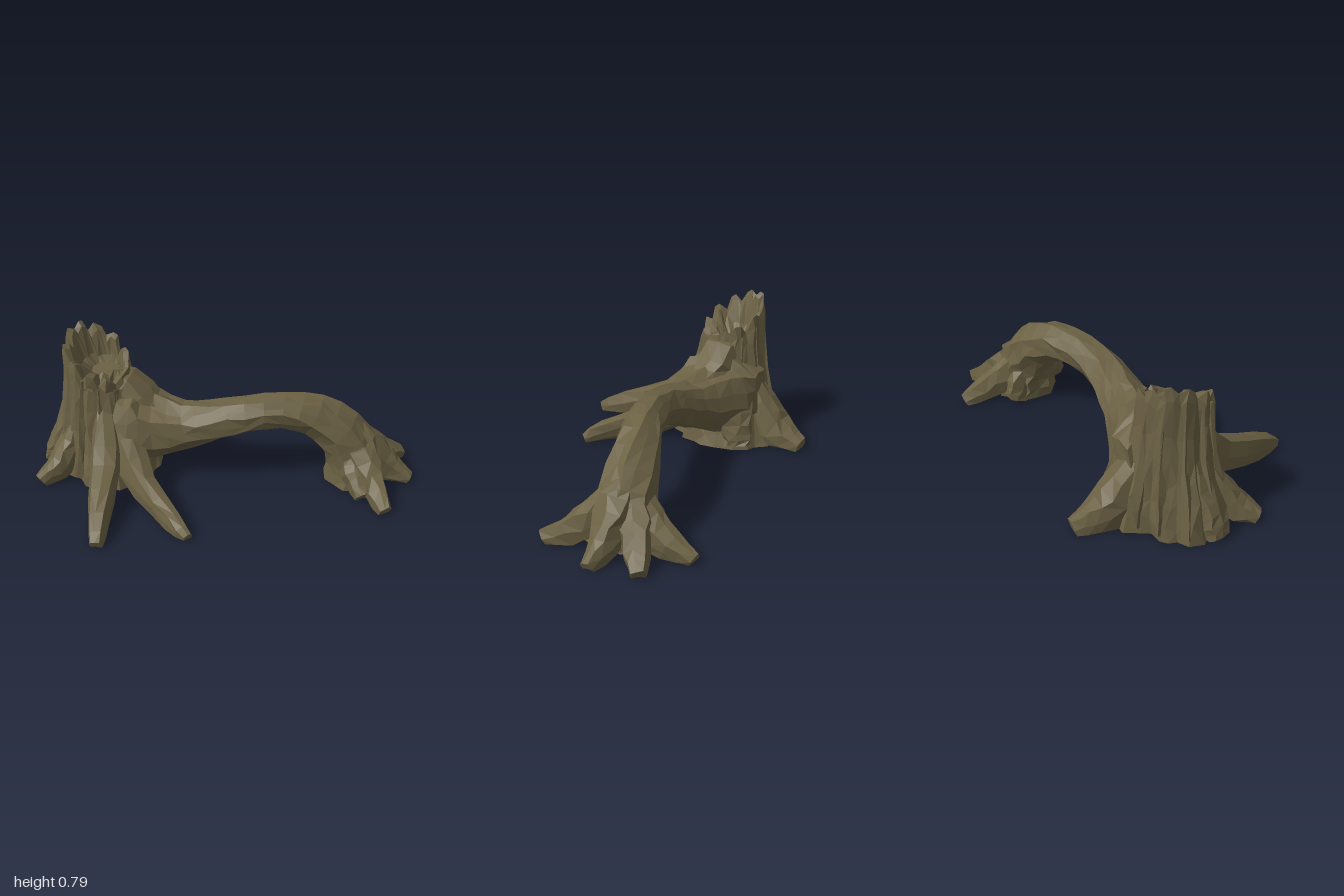
import * as THREE from 'three';

const bark = new THREE.MeshStandardMaterial({ color: 0x6b6144, flatShading: true });
bark.name = 'bark brown';

// Repeatable random numbers
function seeded(seed) {
  let s = seed * 7919 + 13;
  return () => {
    s = (s * 16807) % 2147483647;
    return s / 2147483647;
  };
}

// Skin a list of equal rings with facets, closing both ends
function loft(name, rings, rnd) {
  const pos = [];
  const n = rings[0].length;
  const tri = (...p) => p.forEach((v) => pos.push(v.x, Math.max(0, v.y), v.z));
  const middle = (ring) => ring.reduce((m, v) => m.add(v), new THREE.Vector3()).divideScalar(n);
  const first = rings[0], last = rings[rings.length - 1];
  const m0 = middle(first), m1 = middle(last);
  for (let k = 0; k < n; k++) {
    const j = (k + 1) % n;
    for (let i = 0; i < rings.length - 1; i++) {
      const a = rings[i][k], b = rings[i][j], c = rings[i + 1][j], d = rings[i + 1][k];
      if (rnd() < 0.5) { tri(a, b, c); tri(a, c, d); }
      else { tri(a, b, d); tri(b, c, d); }
    }
    tri(m0, first[j], first[k]);
    tri(m1, last[k], last[j]);
  }
  const geo = new THREE.BufferGeometry();
  geo.setAttribute('position', new THREE.Float32BufferAttribute(pos, 3));
  geo.computeVertexNormals();
  const mesh = new THREE.Mesh(geo, bark);
  mesh.name = name;
  return mesh;
}

// Gnarled limb; each station is [x, y, z, half height], width = half width / half height
function limb(name, stations, { width = 0.7, sides = 9, steps = 6, rough = 0.12, twist = 0.4, seed = 1 } = {}) {
  const rnd = seeded(seed);
  const curve = new THREE.CatmullRomCurve3(stations.map((s) => new THREE.Vector3(s[0], s[1], s[2])));
  const end = stations[stations.length - 1];
  const run = new THREE.Vector3(end[0] - stations[0][0], 0, end[2] - stations[0][2]).normalize();
  const side = new THREE.Vector3(0, 1, 0).cross(run);
  const ridge = Array.from({ length: sides }, (_, k) => (k % 2 ? 1 : -1) * rough * (0.4 + 0.6 * rnd()));
  const rings = [];
  for (let i = 0; i <= steps; i++) {
    const t = i / steps;
    const f = t * (stations.length - 1);
    const q = Math.min(Math.floor(f), stations.length - 2);
    const r = THREE.MathUtils.lerp(stations[q][3], stations[q + 1][3], f - q);
    const c = curve.getPoint(t);
    const up = curve.getTangent(t).cross(side).normalize();
    rings.push(ridge.map((g, k) => {
      const a = ((k + (rnd() - 0.5) * 0.5) / sides) * Math.PI * 2 + t * twist;
      const s = r * (1 + g + (rnd() - 0.5) * rough);
      return c.clone().addScaledVector(side, Math.cos(a) * s * width).addScaledVector(up, Math.sin(a) * s);
    }));
  }
  return loft(name, rings, rnd);
}

// Ground outline of the trunk skirt, one radius every 30 degrees from +x towards -z
const skirt = [0.31, 0.33, 0.34, 0.31, 0.21, 0.25, 0.3, 0.27, 0.24, 0.28, 0.33, 0.31];
function skirtRadius(angle) {
  const f = (((angle / (Math.PI * 2)) % 1) + 1) % 1 * 12;
  const i = Math.floor(f);
  return THREE.MathUtils.lerp(skirt[i % 12], skirt[(i + 1) % 12], f - i);
}

// Broken hollow trunk: flared outer rings upward, splintered rim, then down inside to the floor
function trunk() {
  const rnd = seeded(5);
  const sides = 32;
  const groove = Array.from({ length: sides }, (_, k) => 1 + [0.04, 0, -0.06][k % 3] * (0.4 + rnd()));
  const ring = (cx, cz, radius, height, rough) => groove.map((g, k) => {
    const a = ((k + (rnd() - 0.5) * 0.5) / sides) * Math.PI * 2;
    const s = radius(a) * (g + (rnd() - 0.5) * rough);
    const x = cx + Math.cos(a) * s, z = cz - Math.sin(a) * s;
    return new THREE.Vector3(x, height(x, z, k), z);
  });
  // [height, share of the skirt radius, plain radius]
  const outer = [[0, 1, 0.2], [0.08, 0.84, 0.2], [0.18, 0.56, 0.195], [0.3, 0.28, 0.19], [0.42, 0.1, 0.187], [0.54, 0, 0.18]];
  const rings = outer.map(([y, share, r]) => ring(-0.69, -0.08, (a) => THREE.MathUtils.lerp(r, skirtRadius(a), share),
    () => (y ? y + (rnd() - 0.5) * 0.06 : 0), 0.05));
  const chips = groove.map(() => rnd());
  const rim = (x, z, k) => 0.775 - 0.58 * Math.max(0, x + 0.8) - 0.5 * Math.max(0, z + 0.12)
    + (k % 3 === 2 ? -0.05 : 0.025) * (0.2 + 0.8 * chips[k]);
  rings.push(ring(-0.695, -0.08, () => 0.174, (x, z, k) => rim(x, z, k) - 0.06, 0.05));
  rings.push(ring(-0.695, -0.08, () => 0.164, rim, 0.05));
  rings.push(ring(-0.69, -0.085, () => 0.135, (x, z, k) => rim(x, z, k) - 0.02, 0.12));
  rings.push(ring(-0.675, -0.1, () => 0.108, () => 0.58 + rnd() * 0.03, 0.1));
  rings.push(ring(-0.66, -0.11, () => 0.08, () => 0.555, 0.05));
  return loft('hollowTrunk', rings, rnd);
}

export function createModel() {
  const model = new THREE.Group();
  model.name = 'stumpWithArch';
  model.add(trunk());

  // Arching bough from the trunk over to its rooted foot
  model.add(limb('archingBough', [
    [-0.66, 0.32, -0.09, 0.21], [-0.52, 0.28, -0.1, 0.235], [-0.38, 0.28, -0.085, 0.18], [-0.2, 0.31, -0.07, 0.125],
    [-0.05, 0.365, -0.07, 0.105], [0.12, 0.415, -0.09, 0.094], [0.3, 0.432, -0.15, 0.094], [0.45, 0.395, -0.21, 0.11],
    [0.58, 0.3, -0.25, 0.13], [0.66, 0.16, -0.27, 0.15], [0.69, 0, -0.27, 0.17],
  ], { width: 1.0, sides: 14, steps: 20, rough: 0.07, twist: 1.2, seed: 3 }));

  // Sloping shoulder where the bough leaves the trunk
  model.add(limb('boughShoulder', [
    [-0.62, 0.52, -0.09, 0.08], [-0.53, 0.475, -0.09, 0.105], [-0.44, 0.385, -0.09, 0.1], [-0.34, 0.34, -0.08, 0.08],
  ], { width: 1.15, steps: 4, rough: 0.08, seed: 9 }));

  // Roots around the trunk
  const trunkRoots = [
    [[-0.64, 0.46, 0.0, 0.06], [-0.61, 0.29, 0.09, 0.11], [-0.57, 0.15, 0.22, 0.115], [-0.53, 0.08, 0.42, 0.095], [-0.485, 0.035, 0.59, 0.07], [-0.47, 0.01, 0.665, 0.045]],
    [[-0.58, 0.36, 0.0, 0.08], [-0.49, 0.2, 0.09, 0.12], [-0.37, 0.09, 0.22, 0.095], [-0.21, 0.06, 0.37, 0.07], [-0.1, 0.035, 0.46, 0.055], [-0.045, 0.015, 0.495, 0.035]],
    [[-0.65, 0.42, -0.16, 0.07], [-0.64, 0.22, -0.25, 0.13], [-0.635, 0.08, -0.36, 0.14], [-0.625, 0.02, -0.48, 0.1], [-0.62, 0, -0.565, 0.07]],
    [[-0.77, 0.34, 0.0, 0.06], [-0.81, 0.17, 0.08, 0.09], [-0.87, 0.06, 0.17, 0.085], [-0.94, 0.01, 0.245, 0.055]],
    [[-0.8, 0.4, -0.06, 0.07], [-0.86, 0.2, -0.03, 0.09], [-0.92, 0.07, 0.0, 0.09], [-0.955, 0, 0.01, 0.065]],
    [[-0.6, 0.42, -0.15, 0.09], [-0.53, 0.22, -0.19, 0.13], [-0.49, 0.07, -0.23, 0.1], [-0.47, 0, -0.25, 0.08]],
  ];
  trunkRoots.forEach((r, i) => model.add(limb('trunkRoot' + (i + 1), r, { seed: 20 + i, steps: 7, width: i > 3 ? 0.95 : 0.76, rough: 0.09 })));

  // Roots around the foot of the bough
  const footRoots = [
    [[0.64, 0.24, -0.28, 0.09], [0.66, 0.12, -0.4, 0.1], [0.68, 0.05, -0.53, 0.08], [0.67, 0.005, -0.65, 0.05]],
    [[0.64, 0.25, -0.29, 0.1], [0.73, 0.12, -0.37, 0.11], [0.83, 0.05, -0.45, 0.075], [0.91, 0.01, -0.51, 0.045]],
    [[0.64, 0.27, -0.27, 0.1], [0.76, 0.15, -0.28, 0.12], [0.87, 0.06, -0.29, 0.08], [0.98, 0.01, -0.285, 0.04]],
    [[0.65, 0.24, -0.24, 0.09], [0.75, 0.13, -0.17, 0.1], [0.83, 0.05, -0.06, 0.075], [0.89, 0.01, 0.04, 0.05]],
    [[0.64, 0.2, -0.23, 0.09], [0.7, 0.09, -0.14, 0.09], [0.76, 0.02, -0.04, 0.05]],
    [[0.6, 0.22, -0.29, 0.07], [0.585, 0.1, -0.35, 0.08], [0.565, 0.01, -0.38, 0.065]],
  ];
  footRoots.forEach((r, i) => model.add(limb('footRoot' + (i + 1), r, { seed: 50 + i, steps: 6, sides: 8, width: 0.82 })));

  // Raised strips of bark running up the trunk
  for (let i = 0; i < 10; i++) {
    const a = 0.8 + i * 0.53;
    const at = (r, y, w) => [-0.69 + Math.cos(a) * r, y, -0.08 - Math.sin(a) * r, w];
    const top = 0.62 - 0.09 * Math.cos(a) + 0.05 * Math.sin(a);
    const foot = skirtRadius(a);
    model.add(limb('barkStrip' + (i + 1), [
      at(foot - 0.025, 0.03, 0.04), at(0.1 + foot * 0.45, 0.2, 0.035), at(0.178, 0.42, 0.025), at(0.165, top, 0.012),
    ], { seed: 80 + i, sides: 5, steps: 5, width: 0.8, rough: 0.15 }));
  }
  return model;
}
